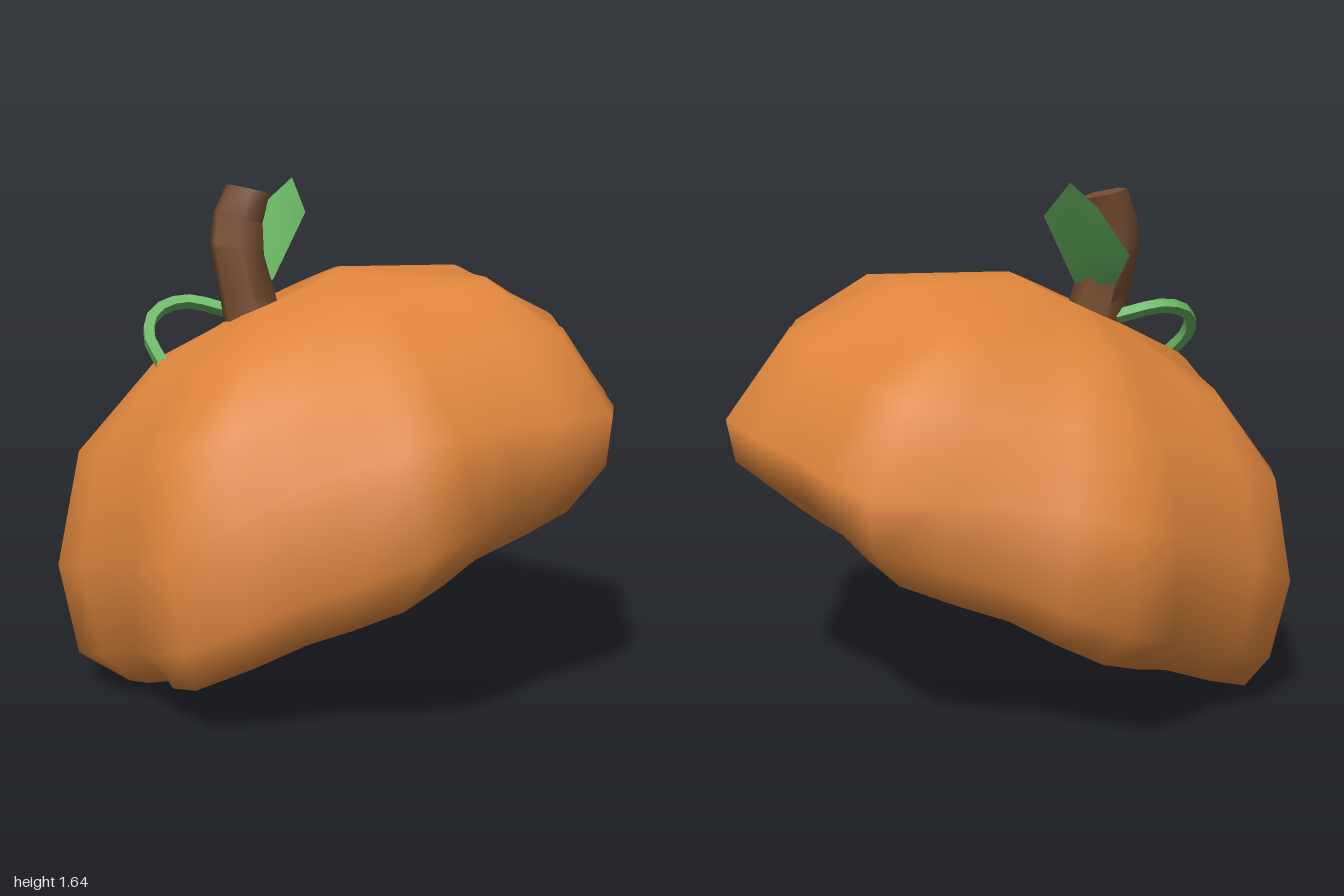
import * as THREE from 'three';
import { mergeVertices, toCreasedNormals } from 'three/addons/utils/BufferGeometryUtils.js';

const mat = (name, color, side = THREE.FrontSide) => {
  const m = new THREE.MeshStandardMaterial({ color, side });
  m.name = name;
  return m;
};

// Skin a stack of closed rings, listed bottom to top; point(row, angle) gives [x, y, z].
function loft(rows, segments, point) {
  const pos = [], index = [];
  rows.forEach((row, i) => {
    for (let j = 0; j < segments; j++) {
      pos.push(...point(row, (j / segments) * Math.PI * 2));
      if (i === rows.length - 1) continue;
      const a = i * segments + j, b = i * segments + (j + 1) % segments;
      index.push(a, a + segments, b, b, a + segments, b + segments);
    }
  });
  let g = new THREE.BufferGeometry();
  g.setAttribute('position', new THREE.Float32BufferAttribute(pos, 3));
  g.setIndex(index);
  g = mergeVertices(g, 1e-4);
  g.computeVertexNormals();
  return g;
}

export function createModel() {
  const model = new THREE.Group();
  const orange = mat('pumpkin orange', 0xde853c);
  const brown = mat('stem brown', 0x744c31);
  const green = mat('leaf green', 0x68b462, THREE.DoubleSide);
  const add = (name, geometry, material) => {
    const mesh = new THREE.Mesh(geometry, material);
    mesh.name = name;
    model.add(mesh);
    return mesh;
  };

  // Pumpkin body with eight lobes. Each ring: height h, radius r, sideways offset, skew, lobe depth,
  // [widening, lift] of the diagonal lobes and of the front and back lobes
  const rings = [
    { h: 0.32, r: 0, off: 0.1, skew: 0, depth: 0, diag: [0, 0], front: [0, 0] },
    { h: 0.29, r: 0.77, off: 0.07, skew: 0.09, depth: 0.13, diag: [0.11, 0.03], front: [0.03, 0.02] },
    { h: 0.42, r: 0.96, off: 0.135, skew: 0.075, depth: 0.1, diag: [0.02, 0.02], front: [0.04, 0.055] },
    { h: 0.63, r: 0.98, off: 0.18, skew: -0.01, depth: 0.09, diag: [0.02, 0.01], front: [-0.045, 0.135] },
    { h: 0.95, r: 0.835, off: 0.21, skew: -0.02, depth: 0.085, diag: [0.045, -0.03], front: [-0.065, 0.04] },
    { h: 1.18, r: 0.53, off: 0.24, skew: 0, depth: 0.09, diag: [0.13, -0.06], front: [0, 0] },
    { h: 1.26, r: 0.2, off: 0.18, skew: 0.03, depth: 0.04, diag: [0.01, 0], front: [0, 0] },
    { h: 1.22, r: 0, off: 0.12, skew: 0, depth: 0, diag: [0, 0], front: [0, 0] },
  ];
  const body = add('pumpkin body', loft(rings, 32, ({ h, r, off, skew, depth, diag, front }, t) => {
    const d = Math.sin(2 * t) ** 2, f = Math.max(0, -Math.cos(2 * t));
    const rr = (r + d * diag[0] + f * front[0]) * (1 - depth * (1 - Math.cos(8 * t)) / 2);
    const y = h + skew * Math.cos(t) + d * diag[1] + f * front[1];
    return [off + rr * Math.cos(t), y, rr * Math.sin(t)];
  }), orange);
  body.rotation.set(-0.092, 0, 0.279);
  body.position.z = 0.05;

  // Bent six-sided stem: [x, y, z, radius]
  const stemRings = [
    [-0.27, 1.08, -0.04, 0.11],
    [-0.3, 1.24, -0.055, 0.103],
    [-0.335, 1.4, -0.075, 0.095],
    [-0.325, 1.5, -0.095, 0.085],
    [-0.29, 1.595, -0.112, 0.077],
    [-0.29, 1.595, -0.112, 0],
  ];
  const stem = loft(stemRings, 6, ([x, y, z, r], t) => {
    const c = r * Math.cos(t + Math.PI / 6), s = r * Math.sin(t + Math.PI / 6);
    return [x + c, y - 0.22 * c, z + s];
  });
  add('stem', toCreasedNormals(stem, 1.1), brown);

  // Leaf, folded about its middle
  const outline = [
    [-0.3, 1.3, -0.19], [-0.22, 1.3, -0.04], [-0.11, 1.52, -0.04],
    [-0.1, 1.635, -0.29], [-0.175, 1.56, -0.33], [-0.28, 1.41, -0.345],
  ];
  const middle = [-0.18, 1.43, -0.18];
  const leafPos = outline.flatMap((p, i) => [...middle, ...p, ...outline[(i + 1) % outline.length]]);
  const leaf = new THREE.BufferGeometry();
  leaf.setAttribute('position', new THREE.Float32BufferAttribute(leafPos, 3));
  leaf.computeVertexNormals();
  add('leaf', toCreasedNormals(leaf, 0.6), green);

  // Curling tendril
  const curl = new THREE.CatmullRomCurve3([
    [-0.34, 1.19, -0.11], [-0.5, 1.225, -0.155], [-0.6, 1.19, -0.125],
    [-0.63, 1.12, -0.06], [-0.6, 1.04, 0.03],
  ].map((p) => new THREE.Vector3(...p)));
  add('tendril', toCreasedNormals(new THREE.TubeGeometry(curl, 10, 0.024, 4), 0.8), green);

  return model;
}
